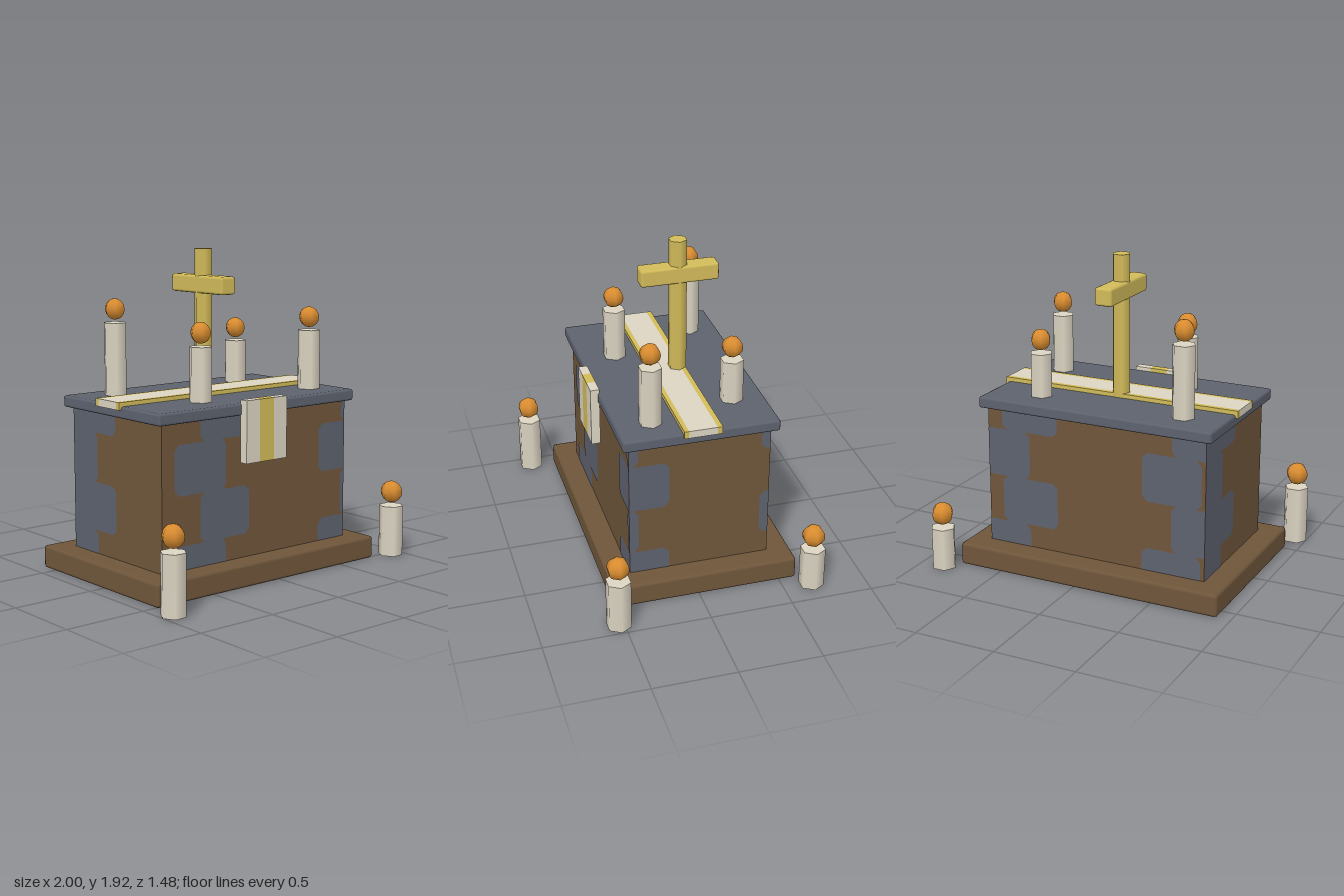
import * as THREE from 'three';
import { RoundedBoxGeometry } from 'three/addons/geometries/RoundedBoxGeometry.js';

const material = (name, color) => Object.assign(new THREE.MeshStandardMaterial({ color }), { name });

export function createModel() {
  const model = new THREE.Group();
  model.name = 'candlelitAltar';
  const wood = material('brown wood', 0x6f563b);
  const stone = material('slate stone', 0x5d626e);
  const gold = material('gold', 0xd2bb5a);
  const cream = material('cream', 0xdcd5c3);
  const flame = material('orange flame', 0xd98c30);

  function add(name, geometry, mat, x, y, z, parent = model) {
    const mesh = new THREE.Mesh(geometry, mat);
    mesh.name = name;
    mesh.position.set(x, y, z);
    parent.add(mesh);
    return mesh;
  }

  // Box from its limits on each axis, with an optional chamfer
  function box(name, mat, [x0, x1], [y0, y1], [z0, z1], bevel = 0) {
    const size = [x1 - x0, y1 - y0, z1 - z0];
    const geometry = bevel
      ? new RoundedBoxGeometry(...size, 1, bevel)
      : new THREE.BoxGeometry(...size);
    return add(name, geometry, mat, (x0 + x1) / 2, (y0 + y1) / 2, (z0 + z1) / 2);
  }

  // Altar: plinth, body and table slab
  box('plinth', wood, [-0.92, 0.77], [0, 0.14], [-0.605, 0.525], 0.02);
  const bx = [-0.78, 0.635], by = [0.12, 1.0], bz = [-0.46, 0.39];
  box('altarBody', wood, bx, by, bz);
  box('tableSlab', stone, [-0.825, 0.675], [0.99, 1.06], [-0.505, 0.43], 0.015);

  // Stone patches: staggered courses of thin plates with clipped corners
  const courses = [0.14, 0.28, 0.57, 0.865, 0.99];
  function patch(u0, u1, y0, y1, width) {
    const c = 0.03;
    const a = Math.max(u0, 0), b = Math.min(u1, width);
    const left = u0 > 0 ? c : 0, right = u1 < width ? c : 0;
    const low = y0 > 0.14 ? 1 : 0, high = y1 < 0.99 ? 1 : 0;
    return new THREE.ShapeGeometry(new THREE.Shape([
      [a + left * low, y0], [b - right * low, y0], [b, y0 + right * low], [b, y1 - right * high],
      [b - right * high, y1], [a + left * high, y1], [a, y1 - left * high], [a, y0 + left * low],
    ].map(([u, y]) => new THREE.Vector2(u - width / 2, y))));
  }
  const cx = (bx[0] + bx[1]) / 2, cz = (bz[0] + bz[1]) / 2;
  const w = bx[1] - bx[0], d = bz[1] - bz[0], gap = 0.002;
  const faces = [
    { name: 'front', width: w, x: cx, z: bz[1] + gap, turn: 0,
      even: [[0.09, 0.465], [1.2, 1.6]], odd: [[0.275, 0.64], [1.385, 1.6]] },
    { name: 'left', width: d, x: bx[1] + gap, z: cz, turn: Math.PI / 2,
      even: [[-0.13, 0.24]], odd: [[-0.315, 0.055], [0.795, 1.1]] },
    { name: 'back', width: w, x: cx, z: bz[0] - gap, turn: Math.PI,
      even: [[-0.09, 0.28], [1.02, 1.39]], odd: [[0.095, 0.465], [1.205, 1.6]] },
    { name: 'right', width: d, x: bx[0] - gap, z: cz, turn: -Math.PI / 2,
      even: [[-0.13, 0.24]], odd: [[-0.05, 0.42]] },
  ];
  for (const face of faces) {
    const group = new THREE.Group();
    group.name = face.name + 'StonePatches';
    group.position.set(face.x, 0, face.z);
    group.rotation.y = face.turn;
    for (let i = 0; i < 4; i++) {
      for (const [u0, u1] of i % 2 ? face.odd : face.even) {
        add('stonePatch', patch(u0, u1, courses[i], courses[i + 1], face.width), stone, 0, 0, 0, group);
      }
    }
    model.add(group);
  }

  // Cloth runner along the table, with gold borders
  const runX = [-0.84, 0.69], runY = [1.04, 1.085];
  box('runnerCloth', cream, runX, runY, [-0.12, 0.05]);
  box('runnerBackBorder', gold, runX, runY, [-0.15, -0.12]);
  box('runnerFrontBorder', gold, runX, runY, [0.05, 0.077]);

  // Cloth hanging at the front, with a gold centre stripe
  const hangY = [0.715, 1.082], hangZ = [0.42, 0.475];
  box('hangingClothRight', cream, [-0.23, -0.13], hangY, hangZ);
  box('hangingClothStripe', gold, [-0.13, -0.02], hangY, hangZ);
  box('hangingClothLeft', cream, [-0.02, 0.08], hangY, hangZ);

  // Cross: six-sided post and chamfered crossbar
  add('crossPost', new THREE.CylinderGeometry(0.056, 0.056, 0.87, 6, 1, false, Math.PI / 2),
    gold, -0.075, 1.485, -0.104);
  box('crossBar', gold, [-0.13, -0.02], [1.655, 1.762], [-0.345, 0.133], 0.016);

  // Candles: x, z, bottom, top, radius
  const candles = [
    [-0.925, 0.675, 0, 0.357, 0.076],
    [0.92, 0.532, 0, 0.315, 0.076],
    [0.847, -0.674, 0, 0.258, 0.076],
    [-0.573, -0.32, 1.05, 1.492, 0.07],
    [0.353, -0.308, 1.05, 1.323, 0.07],
    [-0.358, 0.217, 1.05, 1.38, 0.07],
    [0.492, 0.222, 1.05, 1.42, 0.07],
  ];
  for (const [x, z, y0, y1, r] of candles) {
    const candle = new THREE.Group();
    candle.name = 'candle';
    candle.position.set(x, 0, z);
    add('candleWax', new THREE.CylinderGeometry(r, r, y1 - y0, 6, 1, false, Math.PI / 2),
      cream, 0, (y0 + y1) / 2, 0, candle);
    add('candleFlame', new THREE.SphereGeometry(r * 0.9, 6, 8), flame, 0, y1 + r * 1.13, 0, candle);
    model.add(candle);
  }

  return model;
}
